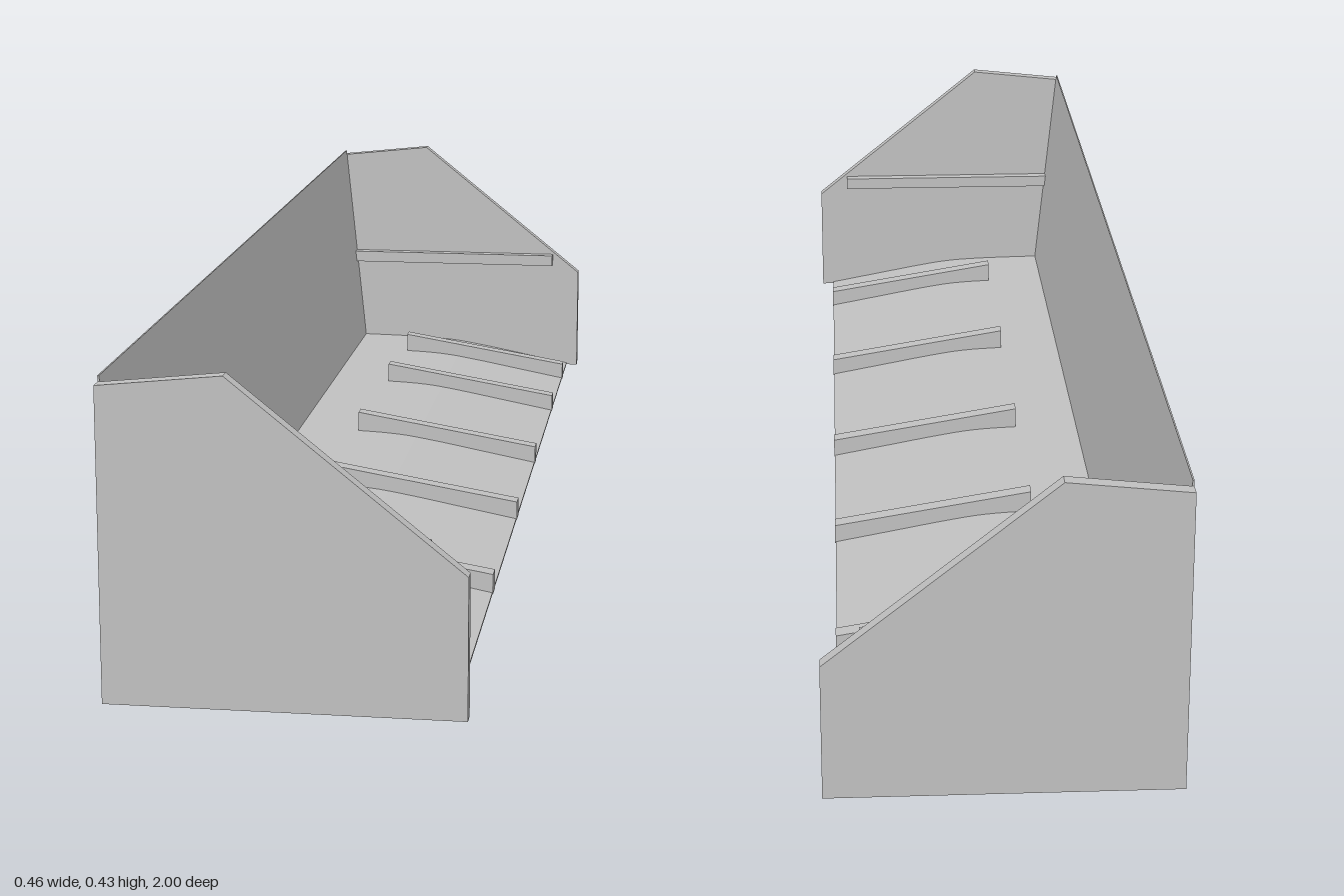
import * as THREE from 'three';

export function createModel() {
  const model = new THREE.Group();
  model.name = 'shelfTray';
  const grey = new THREE.MeshStandardMaterial({ color: 0xc0c0c0 });
  grey.name = 'grey';

  // Extrudes an x-y outline along z, centred on zCentre
  function slab(name, outline, zCentre, depth) {
    const shape = new THREE.Shape(outline.map(([x, y]) => new THREE.Vector2(x, y)));
    const geometry = new THREE.ExtrudeGeometry(shape, { depth, bevelEnabled: false });
    geometry.translate(0, 0, zCentre - depth / 2);
    const mesh = new THREE.Mesh(geometry, grey);
    mesh.name = name;
    model.add(mesh);
  }

  // Gently curved floor line, from the front lip to the foot of the back wall
  const floorLine = new THREE.SplineCurve([
    [0.21, 0.003], [0.12, 0.020], [0.04, 0.035], [-0.02, 0.044], [-0.09, 0.048], [-0.19, 0.05],
  ].map(([x, y]) => new THREE.Vector2(x, y))).getPoints(20).map((p) => [p.x, p.y]);

  // Floor and leaning back wall in one piece
  slab('floorAndBack', [
    [-0.23, 0], [0.21, 0], ...floorLine, [-0.228, 0.417], [-0.23, 0.417],
  ], 0, 1.96);

  // End panels with a sloping front edge, each with a support ledge inside
  for (const side of [1, -1]) {
    const label = side > 0 ? 'front' : 'rear';
    slab(label + 'EndPanel', [
      [-0.23, 0], [0.23, 0], [0.23, 0.185], [-0.07, 0.426], [-0.23, 0.409],
    ], side * 0.99, 0.02);
    slab(label + 'Ledge', [
      [-0.21, 0.2], [0.18, 0.2], [0.18, 0.22], [-0.21, 0.22],
    ], side * 0.972, 0.02);
  }

  // Tapered runners across the floor
  [-0.86, -0.6, -0.23, 0.11, 0.485, 0.855].forEach((z, i) => {
    slab('runner' + (i + 1), [
      [-0.09, 0.03], [0.0, 0.02], [0.211, 0.001], [0.211, 0.03], [-0.09, 0.08],
    ], z, 0.025);
  });

  return model;
}
